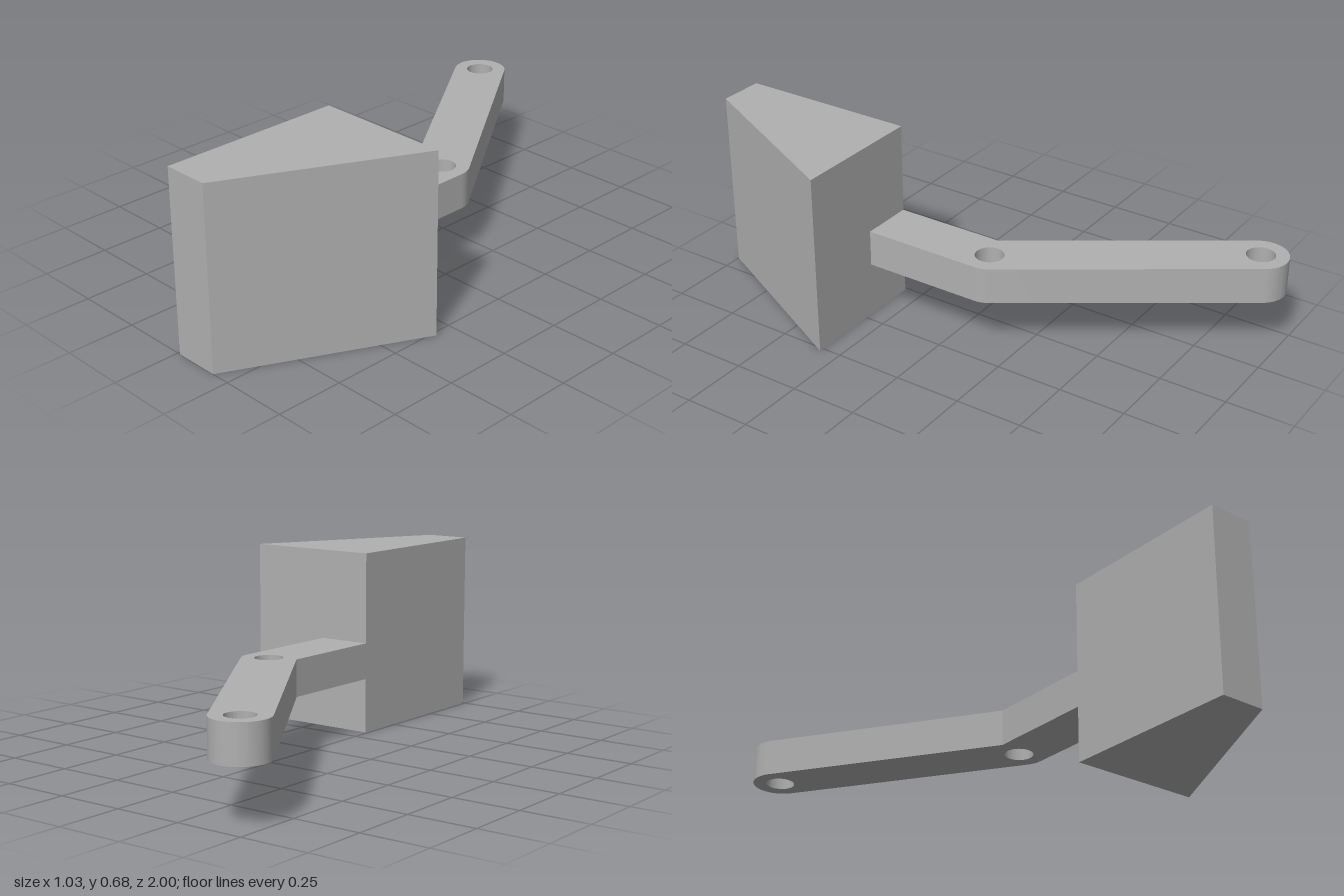
import * as THREE from 'three';
import { toCreasedNormals } from 'three/addons/utils/BufferGeometryUtils.js';

const grey = new THREE.MeshStandardMaterial({ color: 0xb0b0b0 });
grey.name = 'plain grey';

// Extrude a plan outline (x, -z) upwards from y0 to y1
function plate(name, shape, y0, y1) {
  const geometry = new THREE.ExtrudeGeometry(shape, {
    depth: y1 - y0, bevelEnabled: false, curveSegments: 32,
  });
  geometry.rotateX(-Math.PI / 2).translate(0, y0, 0);
  const mesh = new THREE.Mesh(toCreasedNormals(geometry, 0.5), grey);
  mesh.name = name;
  return mesh;
}

export function createModel() {
  const group = new THREE.Group();
  group.name = 'bracketWithBlock';

  // Tapered block
  const block = new THREE.Shape([
    [0.01, -1], [0.18, -1], [0.517, -0.325], [0.01, -0.325],
  ].map(([x, y]) => new THREE.Vector2(x, y)));
  group.add(plate('taperedBlock', block, 0, 0.675));

  // Bent arm with a hole at the elbow and one at the rounded tip
  const elbow = new THREE.Vector2(0.11, 0.12);
  const tip = new THREE.Vector2(-0.418, 0.9);
  const radius = 0.1;
  const lean = Math.atan2(elbow.x - tip.x, tip.y - elbow.y);
  const arm = new THREE.Shape();
  arm.moveTo(elbow.x - radius, -0.325);
  arm.lineTo(elbow.x + radius, -0.325);
  arm.absarc(elbow.x, elbow.y, radius, 0, lean, false);
  arm.absarc(tip.x, tip.y, radius, lean, lean + Math.PI, false);
  arm.lineTo(elbow.x - radius, elbow.y - radius * Math.tan(lean / 2));
  arm.closePath();
  for (const p of [elbow, tip]) {
    arm.holes.push(new THREE.Path().absarc(p.x, p.y, 0.052, 0, Math.PI * 2, true));
  }
  group.add(plate('bentArm', arm, 0.204, 0.339));

  return group;
}
